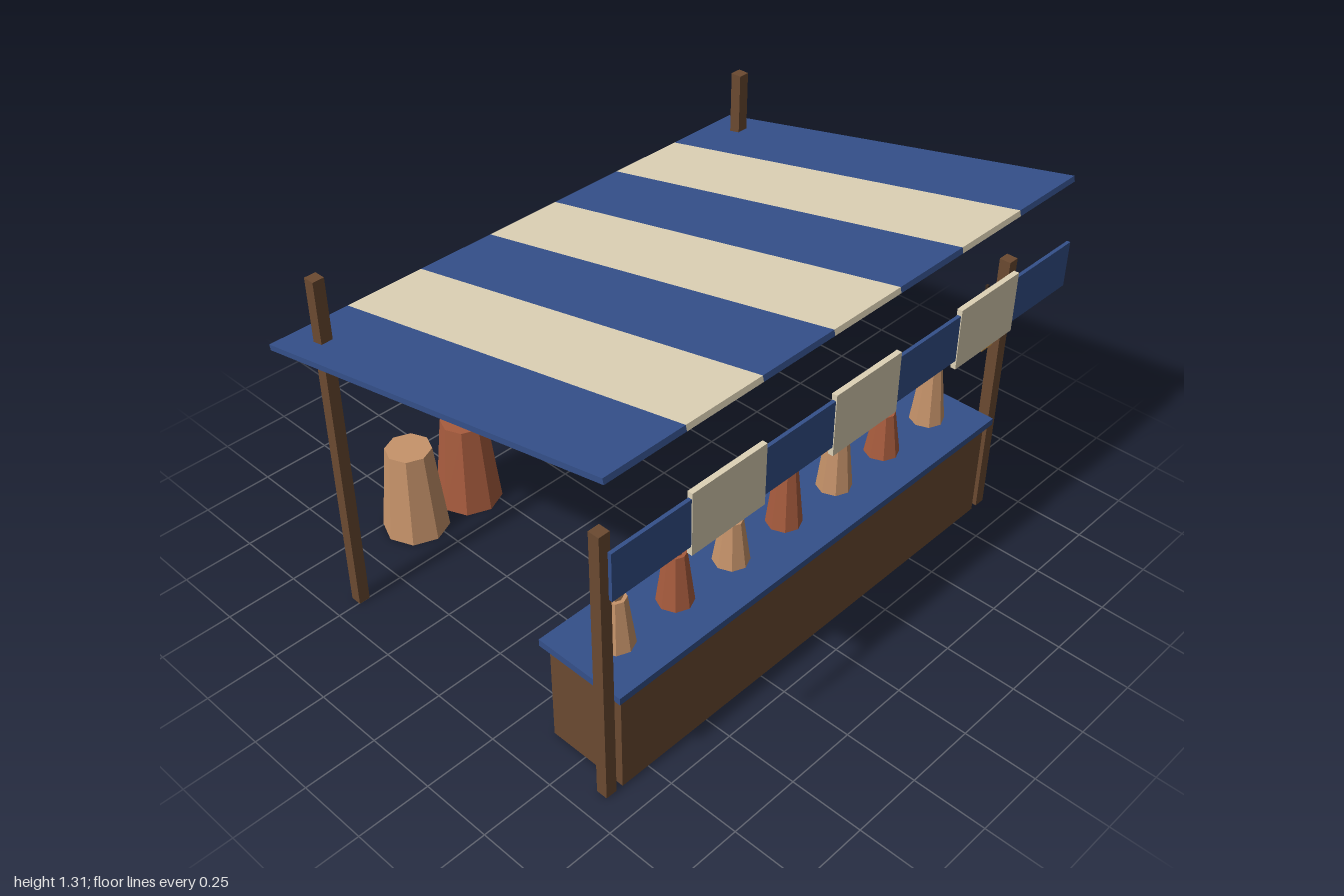
import * as THREE from 'three';

const mat = (color) => new THREE.MeshStandardMaterial({ color, flatShading: true });

export function createModel() {
  const root = new THREE.Group();
  root.name = 'marketStall';
  const blue = mat(0x34508a), cream = mat(0xded2b6), wood = mat(0x6b4a31);
  const terracotta = mat(0xa85c3e), tan = mat(0xc6936a), amber = mat(0xe0a045), dark = mat(0x3a2a20);

  const add = (parent, name, geometry, material, x, y, z) => {
    const mesh = new THREE.Mesh(geometry, material);
    mesh.name = name;
    mesh.position.set(x, y, z);
    parent.add(mesh);
    return mesh;
  };
  const box = (parent, name, material, w, h, d, x, y, z) =>
    add(parent, name, new THREE.BoxGeometry(w, h, d), material, x, y, z);
  // Eight-sided tapered solid standing on y
  const taper = (parent, name, material, rTop, rBottom, h, x, y, z) =>
    add(parent, name, new THREE.CylinderGeometry(rTop, rBottom, h, 8), material, x, y + h / 2, z);

  // Counter
  box(root, 'counterBody', wood, 1.71, 0.37, 0.29, 0, 0.185, 0.51);
  box(root, 'counterTop', blue, 1.755, 0.025, 0.33, 0, 0.3825, 0.51);

  // Posts: short at the front, tall at the back
  for (const side of [-1, 1]) {
    box(root, 'frontPost', wood, 0.04, 1, 0.04, side * 0.9, 0.5, 0.635);
    box(root, 'backPost', wood, 0.04, 1.247, 0.04, side * 0.9, 0.6235, -0.516);
  }

  // Striped sloping awning and the hanging valance below its front edge
  const awning = new THREE.Group();
  awning.name = 'awning';
  awning.position.set(0, 1.144, 0.058);
  awning.rotation.x = -0.214;
  root.add(awning);
  const valance = new THREE.Group();
  valance.name = 'valance';
  valance.position.z = 0.778;
  root.add(valance);
  const stripe = 2 / 7;
  for (let i = 0; i < 7; i++) {
    const x = (i - 3) * stripe;
    const isCream = i % 2 === 1;
    const material = isCream ? cream : blue;
    box(awning, 'awningStripe', material, stripe, 0.019, 1.443, x, 0, 0);
    if (isCream) box(valance, 'valanceFlap', material, stripe, 0.21, 0.018, x, 0.995, 0);
    else box(valance, 'valancePanel', material, stripe, 0.16, 0.012, x, 1, 0);
  }

  // Row of jars on the counter, alternating in colour
  const jarTops = [0.605, 0.615, 0.587, 0.652, 0.652, 0.585, 0.635];
  jarTops.forEach((top, i) => {
    const jar = new THREE.Group();
    jar.name = 'jar';
    jar.position.set((i - 3) * 0.243, 0.395, 0.51);
    root.add(jar);
    const material = i % 2 ? terracotta : tan;
    const bodyHeight = top - 0.395 - 0.032;
    taper(jar, 'jarBody', material, 0.035, 0.059, bodyHeight, 0, 0, 0);
    taper(jar, 'jarNeck', material, 0.032, 0.023, 0.032, 0, bodyHeight, 0);
  });

  // Large sacks behind the stall
  taper(root, 'sack', tan, 0.08, 0.115, 0.332, -0.538, 0, -0.673);
  taper(root, 'sack', terracotta, 0.08, 0.115, 0.332, -0.31, 0, -0.66);

  // Hanging lantern
  box(root, 'lantern', amber, 0.055, 0.075, 0.055, 0.728, 0.8125, 0.677);
  box(root, 'lanternCord', dark, 0.009, 0.15, 0.009, 0.728, 0.925, 0.677);

  return root;
}
